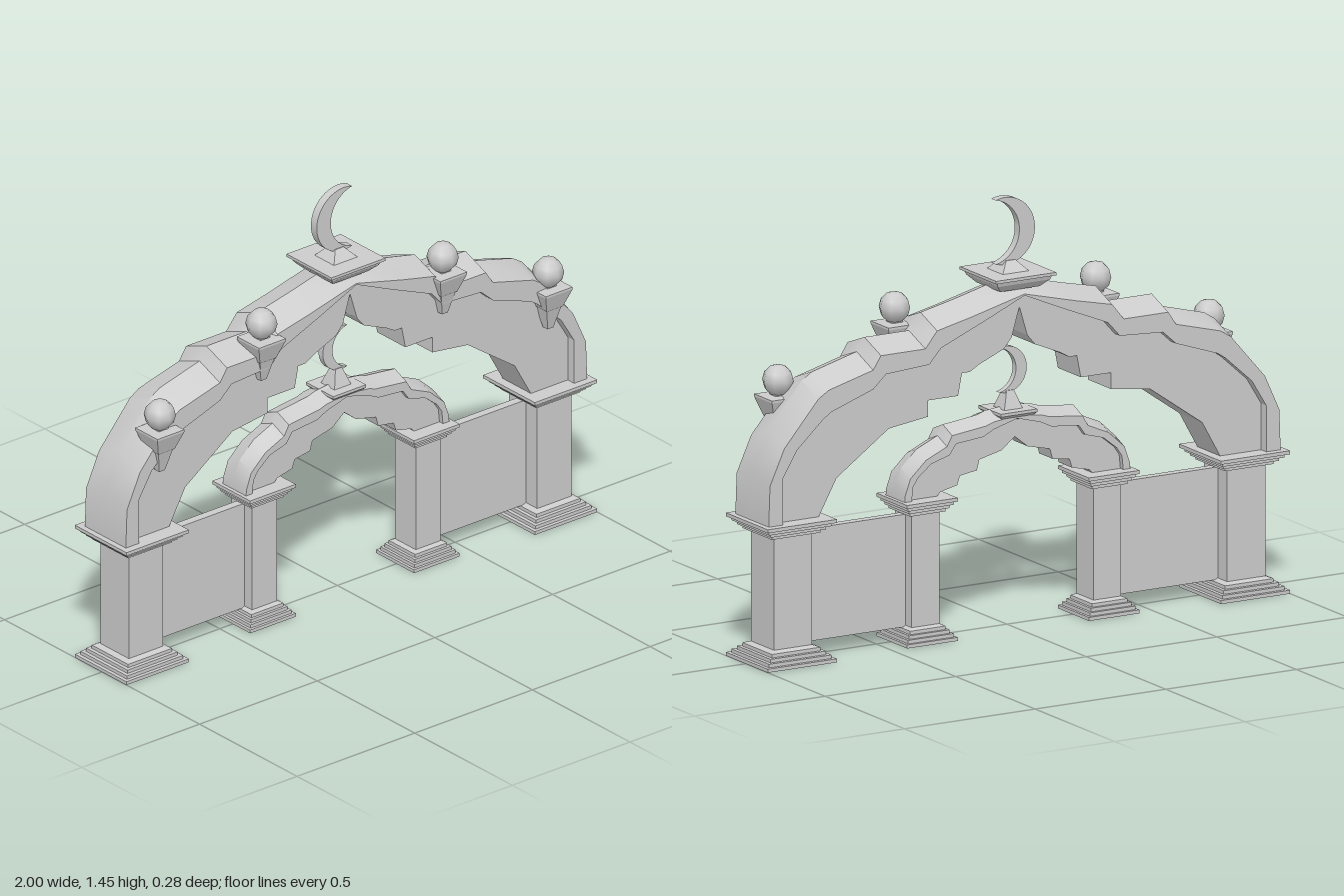
import * as THREE from 'three';
import { toCreasedNormals } from 'three/addons/utils/BufferGeometryUtils.js';

const material = new THREE.MeshStandardMaterial({ color: 0xcccccc, side: THREE.DoubleSide });
const FOOT = 0.48; // height at which the arches spring from the capitals
const ZC = -0.007; // middle plane of the gate

function add(parent, name, geometry, x = 0, y = 0, z = 0) {
  const mesh = new THREE.Mesh(geometry, material);
  mesh.name = name;
  mesh.position.set(x, y, z);
  parent.add(mesh);
  return mesh;
}

// Square turned part: profile of [half width, height]
function square(profile) {
  const points = profile.map(([r, y]) => new THREE.Vector2(r * Math.SQRT2, y));
  return toCreasedNormals(new THREE.LatheGeometry(points, 4, Math.PI / 4), 0.3);
}

// Half profile from foot to apex, continued down the other side
function mirrored(half) {
  return [...half, ...half.slice(0, -1).reverse().map(([x, y]) => [-x, y])];
}

// Raised rim with a ridged back, swept through five-point sections
function rimGeometry(ridge, inner, depth, drop) {
  const outerPath = mirrored(ridge), innerPath = mirrored(inner);
  const positions = [], index = [];
  outerPath.forEach(([x, y], i) => {
    const [ix, iy] = innerPath[i];
    const edge = Math.max(FOOT, y - drop);
    positions.push(ix, iy, depth, x, edge, depth, x, y, 0, x, edge, -depth, ix, iy, -depth);
    if (i === 0) return;
    for (let s = 0; s < 5; s++) {
      const n = (s + 1) % 5, a = (i - 1) * 5, b = i * 5;
      index.push(a + s, a + n, b + n, a + s, b + n, b + s);
    }
  });
  const geometry = new THREE.BufferGeometry();
  geometry.setAttribute('position', new THREE.Float32BufferAttribute(positions, 3));
  geometry.setIndex(index);
  return toCreasedNormals(geometry, 0.5);
}

// Flat panel between the rim and the scalloped opening
function panelGeometry(inner, scallop, depth) {
  const outline = [...mirrored(inner), ...mirrored(scallop).reverse()];
  const shape = new THREE.Shape(outline.map(([x, y]) => new THREE.Vector2(x, y)));
  const geometry = new THREE.ExtrudeGeometry(shape, { depth: depth * 2, bevelEnabled: false });
  return geometry.translate(0, 0, -depth);
}

function addArch(parent, name, { ridge, inner, scallop, depth, panelDepth, drop }) {
  const arch = new THREE.Group();
  arch.name = name;
  arch.position.z = ZC;
  add(arch, 'archRim', rimGeometry(ridge, inner, depth, drop));
  add(arch, 'archPanel', panelGeometry(inner, scallop, panelDepth));
  parent.add(arch);
}

// Crescent between two arcs that share their tips
function crescentGeometry(r, thickness) {
  const tip = 1.25; // angle of the tips on the outer circle
  const tx = r * Math.cos(tip), ty = r * Math.sin(tip);
  const left = -r * 0.48; // leftmost point of the inner arc
  const cx = (tx * tx + ty * ty - left * left) / (2 * (tx - left));
  const ri = cx - left;
  const a = Math.atan2(ty, tx - cx);
  const shape = new THREE.Shape();
  shape.absarc(0, 0, r, tip, Math.PI * 2 - tip, false);
  shape.absarc(cx, 0, ri, Math.PI * 2 - a, a, true);
  const geometry = new THREE.ExtrudeGeometry(shape, { depth: thickness, bevelEnabled: false, curveSegments: 16 });
  return toCreasedNormals(geometry.translate(0, 0, -thickness / 2), 0.6);
}

// Column with stepped base and capital, open underneath
function columnGeometry(shaft, base) {
  const at = (t) => shaft + (base - shaft) * t;
  const p = [[shaft, 0]];
  for (let i = 0; i < 4; i++) {
    const w = at(1 - i * 0.22);
    p.push([w, i * 0.012], [w, (i + 1) * 0.012]);
  }
  p.push([shaft, 0.055], [shaft, 0.435]);
  for (let i = 0; i < 4; i++) {
    const w = at(0.34 + i * 0.22);
    p.push([w, 0.435 + i * 0.012], [w, 0.447 + i * 0.012]);
  }
  p.push([0, 0.483]);
  return square(p);
}

// Corbel carrying a ball; y is the top of its slab
function addFinial(parent, x, y, z) {
  const finial = new THREE.Group();
  finial.name = 'ballFinial';
  finial.position.set(x, y, z);
  add(finial, 'corbel', square([[0, -0.15], [0.012, -0.15], [0.03, -0.075], [0.035, -0.07],
    [0.057, -0.008], [0.057, 0], [0.02, 0.002], [0.02, 0.012], [0, 0.012]]));
  add(finial, 'ball', new THREE.SphereGeometry(0.053, 8, 6), 0, 0.052, 0);
  parent.add(finial);
}

export function createModel() {
  const gate = new THREE.Group();
  gate.name = 'archedGate';

  addArch(gate, 'mainArch', {
    ridge: [[0.98, FOOT], [0.975, 0.66], [0.92, 0.78], [0.79, 0.93], [0.75, 0.955], [0.58, 1.0],
      [0.55, 1.045], [0.38, 1.045], [0.335, 1.1], [0.2, 1.13], [0, 1.18]],
    inner: [[0.925, FOOT], [0.925, 0.64], [0.87, 0.73], [0.77, 0.82], [0.74, 0.84], [0.58, 0.895],
      [0.53, 0.94], [0.365, 0.95], [0.32, 1.0], [0.15, 1.07], [0, 1.135]],
    scallop: [[0.77, FOOT], [0.7, 0.605], [0.5, 0.745], [0.35, 0.765], [0.35, 0.82], [0.235, 0.82],
      [0.22, 0.895], [0.19, 0.895], [0.155, 0.915], [0.06, 0.955], [0.03, 0.99], [0, 1.09]],
    depth: 0.105, panelDepth: 0.072, drop: 0.04,
  });
  addArch(gate, 'innerArch', {
    ridge: [[0.432, FOOT], [0.43, 0.53], [0.41, 0.585], [0.35, 0.64], [0.27, 0.675], [0.25, 0.71],
      [0.12, 0.725], [0.09, 0.735], [0, 0.745]],
    inner: [[0.405, FOOT], [0.4, 0.53], [0.38, 0.56], [0.33, 0.6], [0.26, 0.62], [0.235, 0.655],
      [0.13, 0.665], [0.09, 0.685], [0, 0.71]],
    scallop: [[0.3, FOOT], [0.285, 0.495], [0.22, 0.51], [0.21, 0.54], [0.145, 0.55], [0.135, 0.585],
      [0.05, 0.605], [0, 0.645]],
    depth: 0.06, panelDepth: 0.042, drop: 0.025,
  });

  // Crowning plinths and crescents
  add(gate, 'mainPlinth', square([[0, 1.15], [0.075, 1.15], [0.1, 1.175], [0.105, 1.19], [0.115, 1.19],
    [0.115, 1.2], [0.05, 1.2], [0.018, 1.235], [0, 1.235]]), 0, 0, ZC);
  add(gate, 'mainCrescent', crescentGeometry(0.114, 0.03), 0.02, 1.335, ZC);
  add(gate, 'innerPlinth', square([[0, 0.705], [0.05, 0.705], [0.07, 0.725], [0.07, 0.735],
    [0.035, 0.735], [0.014, 0.795], [0, 0.795]]), 0, 0, ZC);
  add(gate, 'innerCrescent', crescentGeometry(0.079, 0.022), 0.014, 0.866, ZC);

  // Columns, side walls and finials on both sides
  for (const side of [-1, 1]) {
    add(gate, 'outerColumn', columnGeometry(0.073, 0.1325), side * 0.8675, 0, ZC);
    add(gate, 'innerColumn', columnGeometry(0.053, 0.097), side * 0.348, 0, ZC);
    add(gate, 'sideWall', new THREE.BoxGeometry(0.4, 0.38, 0.03), side * 0.6, 0.24, ZC);
    addFinial(gate, side * 0.825, 0.865, 0.085);
    addFinial(gate, side * 0.385, 1.055, 0.075);
  }
  return gate;
}
